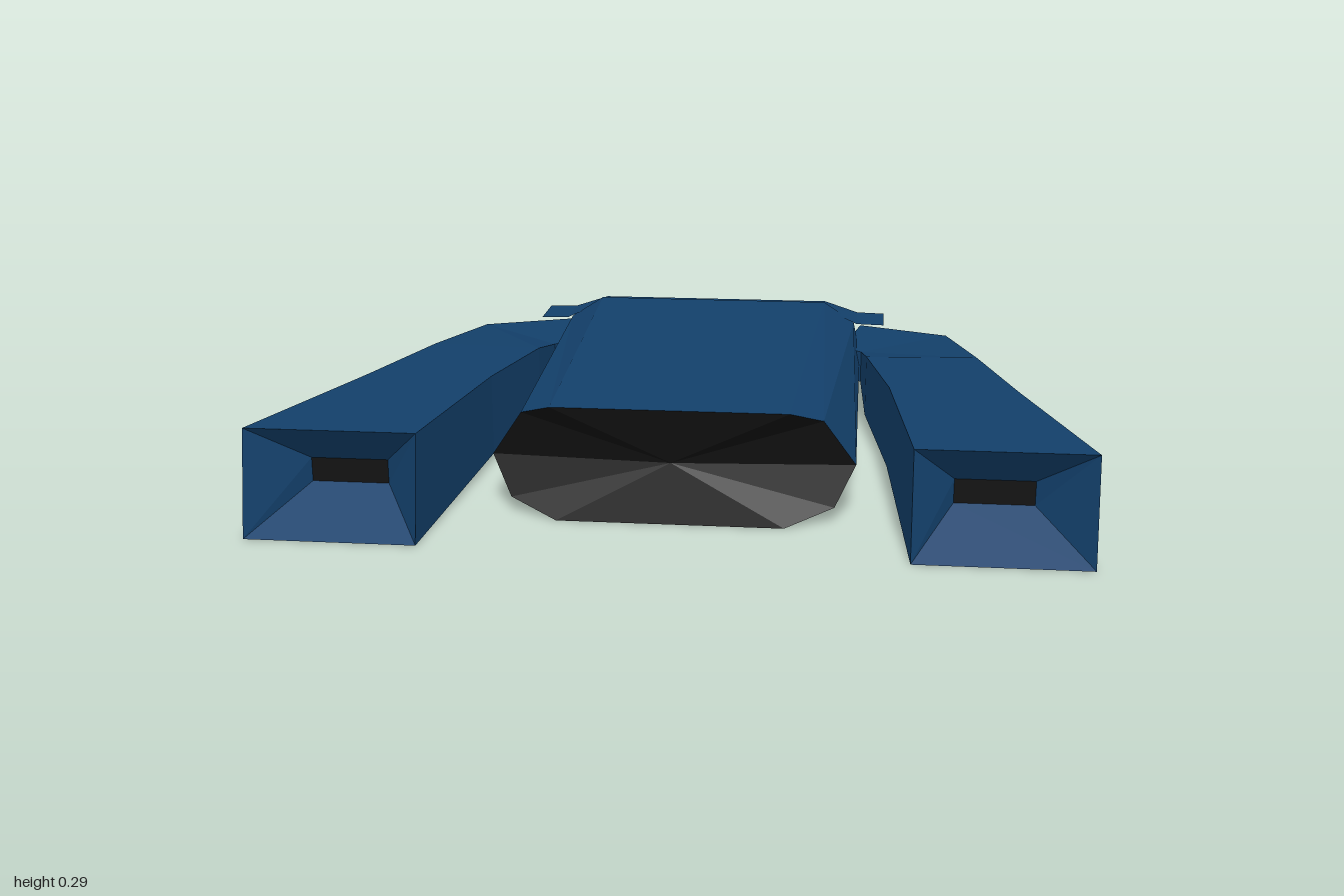
import * as THREE from 'three';

const cloth = new THREE.MeshStandardMaterial({ color: 0x13406b, flatShading: true });
const clothThin = new THREE.MeshStandardMaterial({ color: 0x13406b, flatShading: true, side: THREE.DoubleSide });
const dark = new THREE.MeshStandardMaterial({ color: 0x111111, flatShading: true });

function meshOf(name, tris, material) {
  const geo = new THREE.BufferGeometry();
  geo.setAttribute('position', new THREE.Float32BufferAttribute(tris.flat(), 3));
  geo.computeVertexNormals();
  const mesh = new THREE.Mesh(geo, material);
  mesh.name = name;
  return mesh;
}

// Fan over a loop; flip turns it to face the back
function cap(loop, flip = false) {
  const mid = [0, 1, 2].map(k => loop.reduce((s, p) => s + p[k], 0) / loop.length);
  return loop.flatMap((p, i) => {
    const q = loop[(i + 1) % loop.length];
    return flip ? [mid, q, p] : [mid, p, q];
  });
}

// Skin between loops listed front to back, each counter-clockwise seen from +z
function loft(loops) {
  const tris = [];
  for (let s = 0; s < loops.length - 1; s++) {
    const f = loops[s], r = loops[s + 1], n = f.length;
    for (let i = 0; i < n; i++) {
      const j = (i + 1) % n;
      tris.push(f[i], r[i], r[j], f[i], r[j], f[j]);
    }
  }
  return tris;
}

const mirror = loop => loop.map(([x, y, z]) => [-x, y, z]).reverse();
const symmetric = half => [...half, ...mirror(half)];

export function createModel() {
  const group = new THREE.Group();
  group.name = 'jacket';

  // Torso: half sections from bottom to top, hem to neck
  const torso = [
    [[0.28, 0, 0.57], [0.40, 0.04, 0.52], [0.45, 0.14, 0.485], [0.37, 0.26, 0.52], [0.29, 0.29, 0.57]],
    [[0.30, 0.03, -0.60], [0.42, 0.06, -0.58], [0.45, 0.15, -0.56], [0.43, 0.235, -0.58], [0.34, 0.29, -0.60]],
    [[0.19, 0.11, -0.775], [0.30, 0.11, -0.755], [0.45, 0.14, -0.725], [0.30, 0.20, -0.735], [0.19, 0.235, -0.75]],
  ].map(symmetric);
  group.add(meshOf('torso', [...loft(torso), ...cap(torso[2], true)], cloth));
  group.add(meshOf('hemOpening', cap(torso[0]), dark));

  // Sleeve: [inner x, inner z, outer x, outer z, bottom y, top y]
  const sections = [
    [0.53, 0.13, 0.865, 0.14, 0.02, 0.237],
    [0.47, -0.23, 0.78, -0.25, 0.05, 0.222],
    [0.455, -0.40, 0.71, -0.62, 0.10, 0.19],
    [0.40, -0.45, 0.45, -0.725, 0.10, 0.19],
  ];
  const sleeve = [
    // Sunken cuff opening, then the cuff rim
    [[0.68, 0.10, 0.62], [0.87, 0.10, 0.62], [0.87, 0.16, 0.62], [0.68, 0.16, 0.62]],
    [[0.58, 0, 0.77], [1, 0, 0.77], [1, 0.262, 0.72], [0.58, 0.262, 0.72]],
    ...sections.map(([ix, iz, ox, oz, y0, y1]) =>
      [[ix, y0, iz], [ox, y0, oz], [ox, y1, oz], [ix, y1, iz]]),
  ];
  for (const [side, loops] of [['left', sleeve], ['right', sleeve.map(mirror)]]) {
    const part = new THREE.Group();
    part.name = side + 'Sleeve';
    part.add(meshOf(side + 'SleeveCloth', [...loft(loops), ...cap(loops[loops.length - 1], true)], cloth));
    part.add(meshOf(side + 'CuffOpening', cap(loops[0]), dark));
    group.add(part);
  }

  // Collar: thin strip across the shoulders, drooping at both ends
  const strip = [[-0.52, 0.235], [-0.44, 0.237], [-0.34, 0.282], [0.34, 0.282], [0.44, 0.237], [0.52, 0.235]];
  const collar = [];
  for (let i = 0; i < strip.length - 1; i++) {
    const [a, b] = [strip[i], strip[i + 1]];
    const front = p => [p[0], p[1], -0.55];
    const back = p => [p[0], p[1] - (p[1] > 0.25 ? 0.012 : 0), -0.70];
    collar.push(front(a), front(b), back(b), front(a), back(b), back(a));
  }
  group.add(meshOf('collar', collar, clothThin));

  return group;
}
